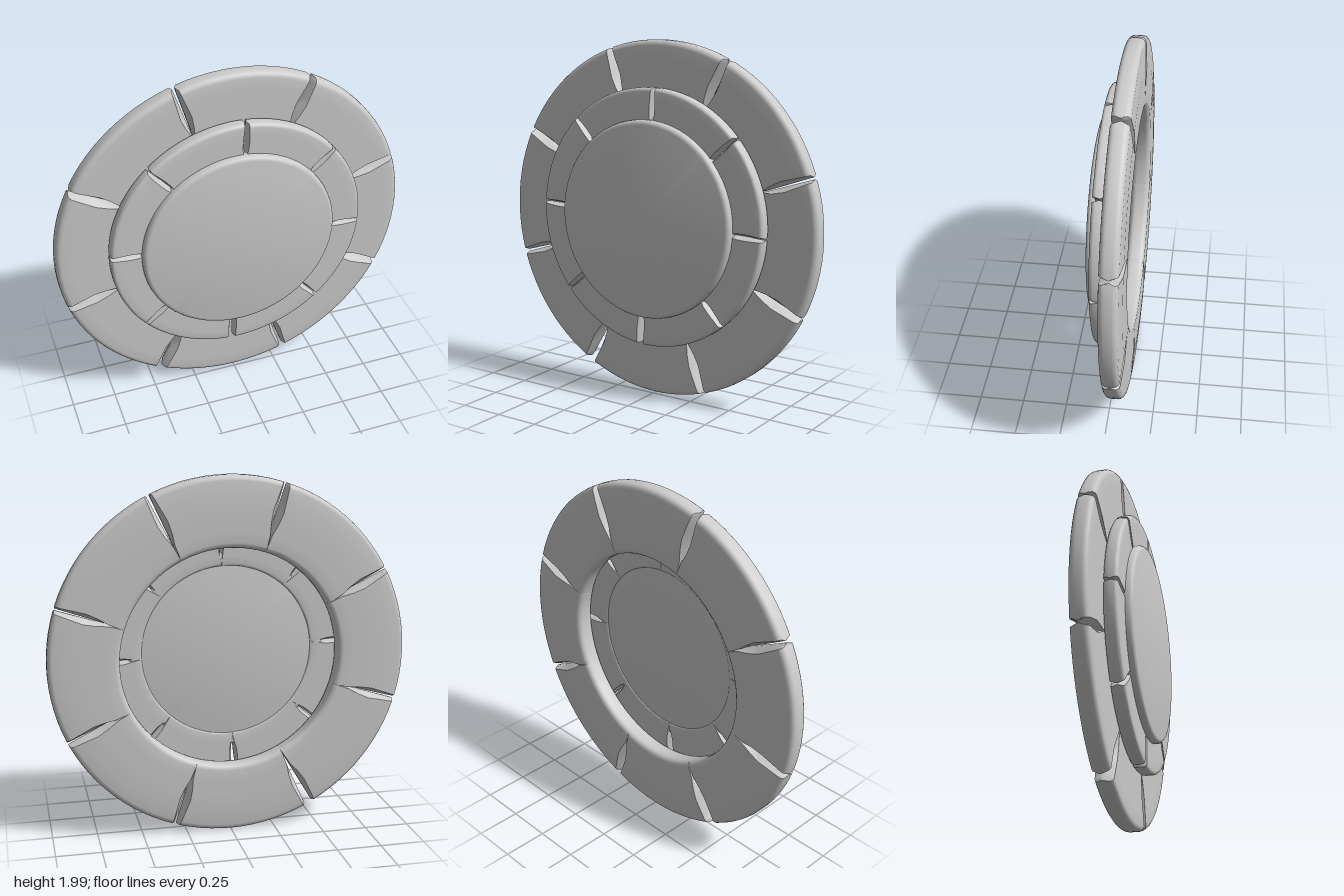
import * as THREE from 'three';
import { toCreasedNormals } from 'three/addons/utils/BufferGeometryUtils.js';

const rad = THREE.MathUtils.degToRad;
const material = new THREE.MeshStandardMaterial({ color: 0xcccccc, side: THREE.DoubleSide });

// Rounded cross-section (radius, z), with extra points along the flat faces
function ringSection({ inner, outer, back, front, round, slope }) {
  const pts = [];
  const corner = (r, z, start) => {
    for (let k = 0; k <= 4; k++) {
      const a = start + (k / 4) * Math.PI / 2;
      pts.push([r + round * Math.cos(a), z + round * Math.sin(a)]);
    }
  };
  const span = outer - inner - 2 * round;
  const along = (t) => inner + round + t * span;
  corner(outer - round, back + slope + round, -Math.PI / 2);
  corner(outer - round, front - round, 0);
  for (const t of [0.8, 0.6, 0.4, 0.2]) pts.push([along(t), front]);
  corner(inner + round, front - round, Math.PI / 2);
  corner(inner + round, back + round, Math.PI);
  for (const t of [0.2, 0.4, 0.6, 0.8]) pts.push([along(t), back + slope * Math.max(0, (t - 0.6) / 0.4)]);
  return pts;
}

// One stone of a ring, swept between two joints, its ends cut into tapering grooves
function stoneGeometry(ring, from, to, gapFrom, gapTo) {
  const section = ringSection(ring);
  const n = section.length, steps = 12;
  const mid = (ring.front + ring.back) / 2;
  const grooveShare = (r) => {
    const t = (r - ring.grooveStart) / (ring.outer - ring.grooveStart);
    if (t <= 0) return 0;
    return t < 0.4 ? t / 0.4 : 1 - 0.55 * (t - 0.4) / 0.6;
  };
  const gapShare = (r) => Math.max(0, (r - ring.inner) / (ring.outer - ring.inner));
  const pos = [], index = [];
  const addSection = (u, isRidge) => {
    for (const [r, z] of section) {
      const lip = isRidge ? 0 : ring.groove * grooveShare(r);
      const a0 = from + (gapFrom * gapShare(r) + lip) / r;
      const a1 = to - (gapTo * gapShare(r) + lip) / r;
      const a = a0 + (a1 - a0) * u;
      pos.push(r * Math.cos(a), r * Math.sin(a), isRidge ? mid + (z - mid) * 0.2 : z);
    }
  };
  addSection(0, true);
  for (let s = 0; s <= steps; s++) addSection(s / steps, false);
  addSection(1, true);

  const rows = steps + 3;
  for (let s = 0; s < rows - 1; s++) {
    for (let i = 0; i < n; i++) {
      const j = (i + 1) % n;
      const a = s * n + i, b = s * n + j, c = a + n, d = b + n;
      index.push(a, c, d, a, d, b);
    }
  }
  // end caps
  const last = (rows - 1) * n;
  for (let i = 1; i < n - 1; i++) {
    index.push(0, i, i + 1);
    index.push(last, last + i + 1, last + i);
  }
  const geometry = new THREE.BufferGeometry();
  geometry.setAttribute('position', new THREE.Float32BufferAttribute(pos, 3));
  geometry.setIndex(index);
  return toCreasedNormals(geometry, 0.5);
}

// joints: [angle in degrees, half gap at the rim]
function stoneRing(name, ring, joints) {
  const group = new THREE.Group();
  group.name = name;
  joints.forEach(([angle, gap], k) => {
    const [next, nextGap] = joints[(k + 1) % joints.length];
    const end = next > angle ? next : next + 360;
    const mesh = new THREE.Mesh(stoneGeometry(ring, rad(angle), rad(end), gap, nextGap), material);
    mesh.name = `${name}Stone${k + 1}`;
    group.add(mesh);
  });
  return group;
}

export function createModel() {
  const model = new THREE.Group();
  model.name = 'roundStonePlatform';

  // wide outer ring at the back
  const outerRing = stoneRing('outerRing', {
    inner: 0.61, outer: 0.997, back: -0.112, front: -0.005, round: 0.03, slope: 0.008,
    groove: 0.028, grooveStart: 0.69,
  }, [
    [-163.4, 0.006], [-117.6, 0.022], [-71.4, 0.008], [-25.5, 0.007],
    [18.4, 0.006], [63.7, 0.008], [107.7, 0.007], [152.1, 0.007],
  ]);
  outerRing.position.y = 1.003;
  model.add(outerRing);

  // narrower middle ring
  const middleRing = stoneRing('middleRing', {
    inner: 0.47, outer: 0.72, back: -0.002, front: 0.075, round: 0.02, slope: 0,
    groove: 0.017, grooveStart: 0.5,
  }, [
    [-140, 0.004], [-93.5, 0.014], [-48, 0.004], [-3, 0.004],
    [41, 0.004], [86.5, 0.005], [132, 0.004], [177, 0.004],
  ]);
  middleRing.position.set(0.003, 1.027, 0);
  model.add(middleRing);

  // raised centre disc with rounded edges
  const profile = [new THREE.Vector2(0, 0.003)];
  const R = 0.55, round = 0.025;
  for (const [z, start] of [[0.003 + round, -Math.PI / 2], [0.115 - round, 0]]) {
    for (let k = 0; k <= 4; k++) {
      const a = start + (k / 4) * Math.PI / 2;
      profile.push(new THREE.Vector2(R - round + round * Math.cos(a), z + round * Math.sin(a)));
    }
  }
  profile.push(new THREE.Vector2(0, 0.115));
  const discGeometry = new THREE.LatheGeometry(profile, 64);
  discGeometry.rotateX(Math.PI / 2);
  const disc = new THREE.Mesh(toCreasedNormals(discGeometry, 0.5), material);
  disc.name = 'centreDisc';
  disc.position.set(0, 1.025, 0);
  model.add(disc);

  return model;
}
